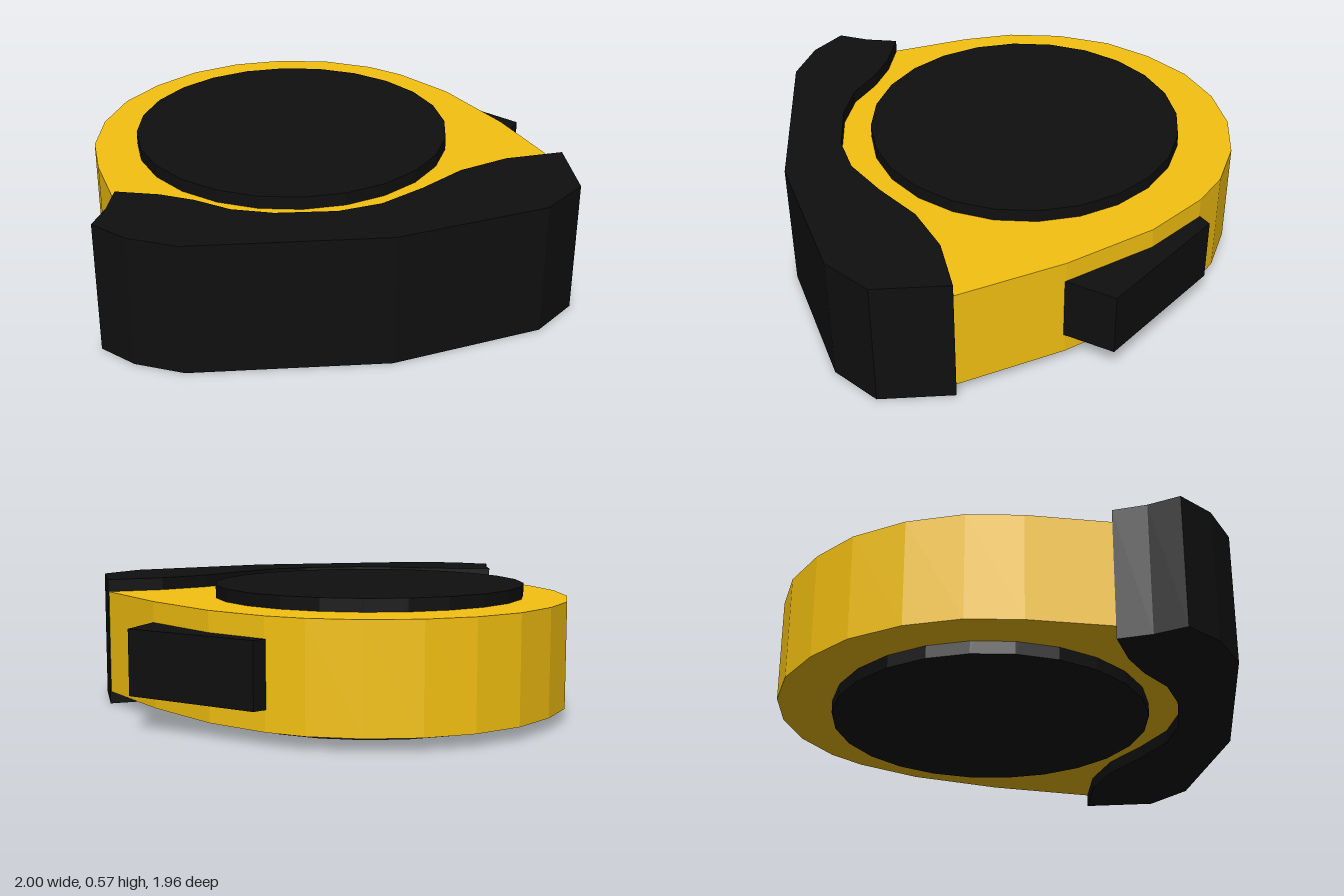
import * as THREE from 'three';

const yellow = new THREE.MeshStandardMaterial({ color: 0xf5c211, flatShading: true });
const black = new THREE.MeshStandardMaterial({ color: 0x0f0f0f, flatShading: true });

// Upright slab from a plan outline of [x, z] points, between two heights
function slab(name, outline, bottom, top, material) {
  const shape = new THREE.Shape(outline.map(([x, z]) => new THREE.Vector2(x, -z)));
  const geometry = new THREE.ExtrudeGeometry(shape, { depth: top - bottom, bevelEnabled: false });
  geometry.rotateX(-Math.PI / 2);
  geometry.translate(0, bottom, 0);
  const mesh = new THREE.Mesh(geometry, material);
  mesh.name = name;
  return mesh;
}

export function createModel() {
  const model = new THREE.Group();
  model.name = 'tapeMeasure';

  // Rounded case; its front edge is sunk inside the grip
  model.add(slab('case', [
    [-0.13, -0.98], [0.1, -0.95], [0.31, -0.86], [0.45, -0.75], [0.64, -0.52],
    [0.83, -0.15], [0.995, 0.3], [0.9, 0.5], [0.2, 0.85], [-0.5, 0.85], [-0.8, 0.7],
    [-0.88, 0.51], [-0.97, 0.17], [-1, -0.06], [-0.97, -0.3], [-0.88, -0.53],
    [-0.74, -0.71], [-0.56, -0.86], [-0.35, -0.95],
  ], 0.055, 0.515, yellow));

  // Grip wrapped around the front
  model.add(slab('grip', [
    [-0.88, 0.51], [-0.7, 0.55], [-0.56, 0.61], [-0.42, 0.7], [-0.25, 0.745],
    [0, 0.75], [0.18, 0.7], [0.36, 0.58], [0.54, 0.435], [0.75, 0.34], [1, 0.3],
    [1, 0.62], [0.83, 0.79], [0.2, 0.98], [-0.62, 0.98], [-0.82, 0.9],
    [-0.955, 0.78], [-0.905, 0.65],
  ], 0, 0.57, black));

  // Round side plates, showing on top and underneath
  const disc = new THREE.Mesh(new THREE.CylinderGeometry(0.683, 0.683, 0.57, 24), black);
  disc.name = 'sidePlates';
  disc.position.set(-0.13, 0.285, -0.06);
  model.add(disc);

  // Lock button on the sloping edge
  model.add(slab('lockButton', [
    [0.5, -0.785], [0.95, -0.335], [0.83, -0.14], [0.6, -0.4], [0.44, -0.75],
  ], 0.145, 0.425, black));

  return model;
}
